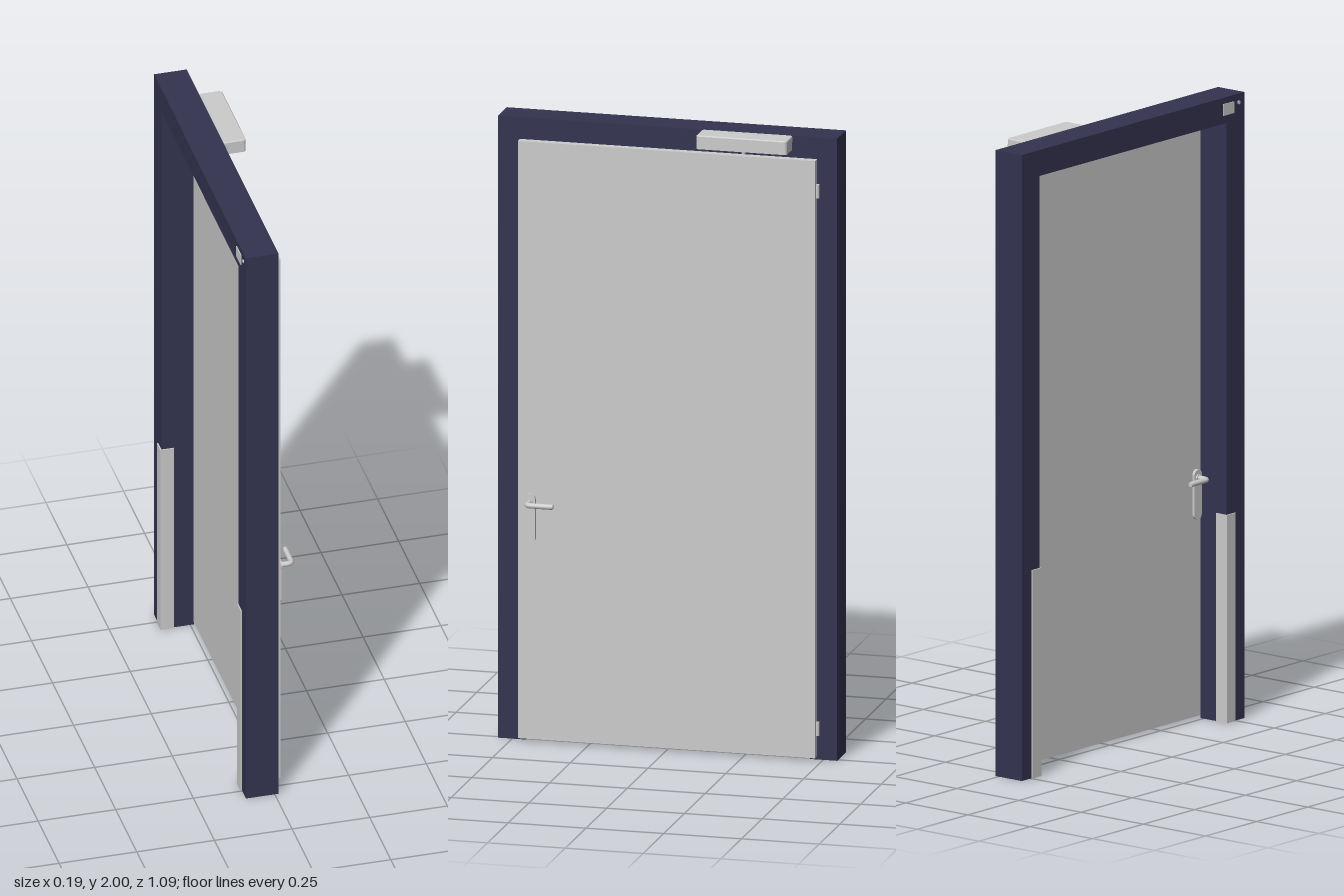
import * as THREE from 'three';

const grey = new THREE.MeshStandardMaterial({ color: 0xcccccc });
const navy = new THREE.MeshStandardMaterial({ color: 0x333350 });

const W = 0.545;              // half width of the frame along z
const IN = 0.458;             // half width of the clear opening
const BACK = -0.093, FACE = 0.012; // frame depth along x

function add(parent, name, geometry, material = grey) {
  const mesh = new THREE.Mesh(geometry, material);
  mesh.name = name;
  parent.add(mesh);
  return mesh;
}

// box given by its minimum and maximum corners
function box(parent, name, x0, x1, y0, y1, z0, z1, material) {
  const mesh = add(parent, name, new THREE.BoxGeometry(x1 - x0, y1 - y0, z1 - z0), material);
  mesh.position.set((x0 + x1) / 2, (y0 + y1) / 2, (z0 + z1) / 2);
  return mesh;
}

// rounded rectangle, usable as an outline or as a hole
function roundedRect(path, x0, x1, y0, y1, r) {
  path.absarc(x1 - r, y0 + r, r, -Math.PI / 2, 0);
  path.absarc(x1 - r, y1 - r, r, 0, Math.PI / 2);
  path.absarc(x0 + r, y1 - r, r, Math.PI / 2, Math.PI);
  path.absarc(x0 + r, y0 + r, r, Math.PI, Math.PI * 1.5);
  path.closePath();
  return path;
}

// lever handle pointing out along +x, side = -1 mirrors it
function makeHandle(name, x, side) {
  const handle = new THREE.Group();
  handle.name = name;
  const y = 0.773, z = 0.435;

  const plate = new THREE.ExtrudeGeometry(
    roundedRect(new THREE.Shape(), -0.018, 0.018, 0.64, 0.80, 0.0179),
    { depth: 0.009, bevelEnabled: false, curveSegments: 12 });
  const plateMesh = add(handle, 'handlePlate', plate);
  plateMesh.rotation.y = side * Math.PI / 2;
  plateMesh.position.set(x, 0, z);

  const collar = add(handle, 'handleCollar', new THREE.CylinderGeometry(0.012, 0.012, 0.014, 20));
  collar.rotation.z = Math.PI / 2;
  collar.position.set(x + side * 0.007, y, z);

  // straight neck, rounded elbow, straight grip
  const out = x + side * 0.048, r = 0.016;
  const p = (px, pz) => new THREE.Vector3(px, y, pz);
  const path = new THREE.CurvePath();
  path.add(new THREE.LineCurve3(p(x, z), p(out - side * r, z)));
  path.add(new THREE.QuadraticBezierCurve3(p(out - side * r, z), p(out, z), p(out, z - r)));
  path.add(new THREE.LineCurve3(p(out, z - r), p(out, 0.355)));
  add(handle, 'lever', new THREE.TubeGeometry(path, 40, 0.0085, 14));
  const end = add(handle, 'leverEnd', new THREE.CylinderGeometry(0.0075, 0.0085, 0.006, 14));
  end.rotation.x = -Math.PI / 2;
  end.position.set(out, y, 0.352);
  return handle;
}

export function createModel() {
  const model = new THREE.Group();
  model.name = 'door';

  // frame: one extruded portal, open at the floor
  const portal = new THREE.Shape([
    [-W, 0], [-IN, 0], [-IN, 1.917], [IN, 1.917], [IN, 0], [W, 0], [W, 2], [-W, 2],
  ].map(([a, b]) => new THREE.Vector2(a, b)));
  const frame = add(model, 'frame',
    new THREE.ExtrudeGeometry(portal, { depth: FACE - BACK, bevelEnabled: false }), navy);
  frame.rotation.y = Math.PI / 2;
  frame.position.x = BACK;

  // door leaf overlapping the front of the frame
  box(model, 'doorLeaf', FACE - 0.001, 0.038, 0.01, 1.93, -0.48, 0.475);

  // angled guard plates on the inner back corners of the jambs
  for (const s of [-1, 1]) {
    const guard = new THREE.Group();
    guard.name = s > 0 ? 'frontGuard' : 'rearGuard';
    const strip = (name, x0, x1, a, b) =>
      box(guard, name, x0, x1, 0, 0.665, Math.min(s * a, s * b), Math.max(s * a, s * b));
    strip('guardFace', BACK - 0.004, BACK, IN - 0.004, IN + 0.04);
    strip('guardReveal', BACK, BACK + 0.04, IN - 0.004, IN);
    model.add(guard);
  }

  // small plate and indicator on the back of the header
  box(model, 'headerPlate', BACK - 0.003, BACK, 1.943, 1.98, 0.44, 0.492);
  const indicator = add(model, 'indicator', new THREE.CylinderGeometry(0.006, 0.006, 0.004, 16));
  indicator.rotation.z = Math.PI / 2;
  indicator.position.set(BACK - 0.001, 1.972, 0.517);

  // hinges
  for (const y of [0.1, 1.828]) {
    const hinge = add(model, 'hinge', new THREE.CylinderGeometry(0.007, 0.007, 0.044, 16));
    hinge.position.set(0.017, y, -0.482);
    box(model, 'hingeLeaf', FACE, 0.02, y - 0.022, y + 0.022, -0.488, -0.479);
  }

  // closer: a cover with two slots on its underside, and the arm and spindle
  const closer = new THREE.Group();
  closer.name = 'closer';
  const x0 = FACE, x1 = 0.086, z0 = -0.402, z1 = -0.11;
  const body = roundedRect(new THREE.Shape(), x0, x1, -z1, -z0, 0.008);
  body.holes.push(
    roundedRect(new THREE.Path(), x0 + 0.018, x1 - 0.018, -z1 + 0.02, 0.238, 0.006),
    roundedRect(new THREE.Path(), x0 + 0.018, x1 - 0.018, 0.268, -z0 - 0.02, 0.006));
  const shell = add(closer, 'closerShell',
    new THREE.ExtrudeGeometry(body, { depth: 0.024, bevelEnabled: false, curveSegments: 6 }));
  shell.rotation.x = -Math.PI / 2;
  shell.position.y = 1.956;
  const lid = add(closer, 'closerLid', new THREE.ExtrudeGeometry(
    roundedRect(new THREE.Shape(), x0, x1 - 0.004, -z1 + 0.004, -z0 - 0.004, 0.006),
    { depth: 0.016, bevelThickness: 0.004, bevelSize: 0.004, bevelSegments: 3, curveSegments: 6 }));
  lid.rotation.x = -Math.PI / 2;
  lid.position.y = 1.98;
  const spindle = add(closer, 'closerSpindle', new THREE.CylinderGeometry(0.008, 0.006, 0.018, 16));
  spindle.position.set(0.047, 1.949, -0.253);
  model.add(closer);

  // handles on both sides of the leaf
  model.add(makeHandle('outerHandle', 0.038, 1), makeHandle('innerHandle', FACE - 0.001, -1));
  return model;
}
